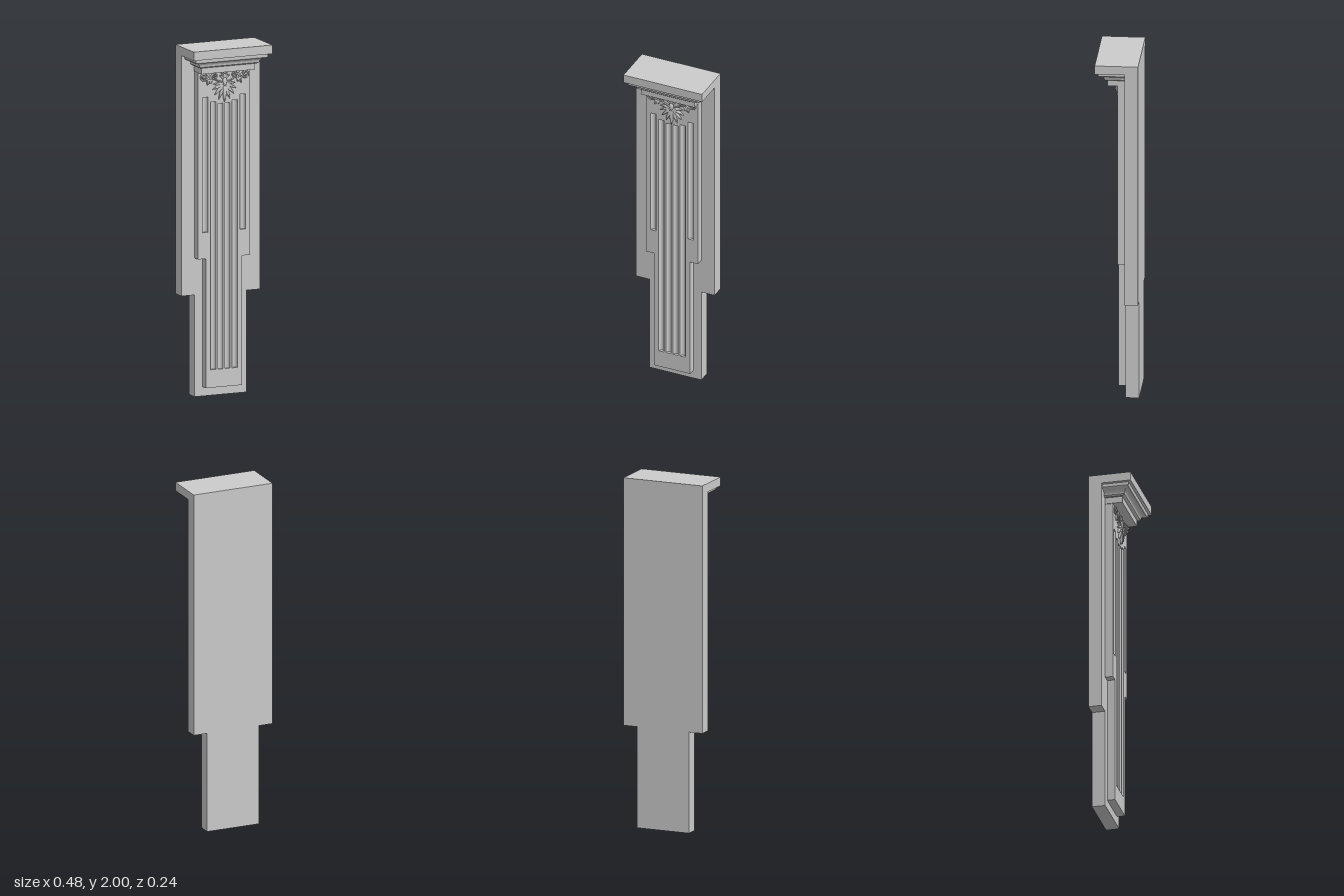
import * as THREE from 'three';

const grey = new THREE.MeshStandardMaterial({ color: 0xcccccc, side: THREE.DoubleSide });

function add(parent, name, geometry) {
  const mesh = new THREE.Mesh(geometry, grey);
  mesh.name = name;
  parent.add(mesh);
  return mesh;
}

// Symmetric outline: a wide upper part on a narrow lower part
function steppedShape(wide, narrow, bottom, step, top) {
  return new THREE.Shape([
    [-narrow, bottom], [narrow, bottom], [narrow, step], [wide, step],
    [wide, top], [-wide, top], [-wide, step], [-narrow, step],
  ].map(([x, y]) => new THREE.Vector2(x, y)));
}

function extrude(shape, z0, z1) {
  return new THREE.ExtrudeGeometry(shape, { depth: z1 - z0, bevelEnabled: false }).translate(0, 0, z0);
}

// Moulding mitred round the front and both sides; rows are [y, half width, front z]
function mitredMoulding(rows, back) {
  const pos = [];
  const corners = ([y, w, z]) => [[-w, y, back], [-w, y, z], [w, y, z], [w, y, back]];
  for (let i = 0; i < rows.length - 1; i++) {
    const a = corners(rows[i]), b = corners(rows[i + 1]);
    for (let k = 0; k < 3; k++) {
      pos.push(...a[k], ...a[k + 1], ...b[k + 1], ...a[k], ...b[k + 1], ...b[k]);
    }
  }
  const u = corners(rows[0]);
  pos.push(...u[0], ...u[3], ...u[2], ...u[0], ...u[2], ...u[1]);
  const g = new THREE.BufferGeometry();
  g.setAttribute('position', new THREE.Float32BufferAttribute(pos, 3));
  g.computeVertexNormals();
  return g;
}

// Pointed leaf lobe growing from (x, y); angle is measured from straight down
function lobe(x, y, z, angle, length, width, depth) {
  const g = new THREE.SphereGeometry(1, 12, 10);
  const p = g.attributes.position;
  for (let i = 0; i < p.count; i++) {
    const t = (p.getY(i) + 1) / 2;
    const crease = 1 - 0.35 * Math.exp(-40 * p.getX(i) ** 2);
    p.setXYZ(i, p.getX(i) * width * (1.25 - 0.75 * t), t * length, p.getZ(i) * depth * crease);
  }
  g.computeVertexNormals();
  return g.rotateZ(Math.PI + angle).translate(x, y, z);
}

// Spiral tube with a trailing stem, side = 1 or -1
function scroll(side, cx, cy, radius, turns, tail, thick) {
  const pts = [];
  const n = Math.round(turns * 10);
  for (let i = 0; i <= n; i++) {
    const t = i / n, a = -Math.PI / 2 + (1 - t) * turns * Math.PI * 2;
    const r = radius * (0.15 + 0.85 * t);
    pts.push(new THREE.Vector3(side * (cx + r * Math.cos(a)), cy + r * Math.sin(a), 0.012 - 0.006 * t));
  }
  for (const [x, y] of tail) pts.push(new THREE.Vector3(side * x, y, 0.006));
  return new THREE.TubeGeometry(new THREE.CatmullRomCurve3(pts), 60, thick, 8);
}

export function createModel() {
  const model = new THREE.Group();
  model.name = 'pilaster';

  // Backing board and top shelf
  add(model, 'backBoard', extrude(steppedShape(0.242, 0.16, 0, 0.58, 1.95), -0.121, -0.045));
  add(model, 'topShelf', new THREE.BoxGeometry(0.484, 0.05, 0.243).translate(0, 1.975, 0));

  // Fluted panel: solid body behind a pierced face, with a hollow round flute in each slot
  const outline = () => steppedShape(0.16, 0.112, 0.053, 0.79, 1.86);
  const faceDepth = 0.016;
  add(model, 'panelBody', extrude(outline(), -0.045, -faceDepth));
  const face = outline();
  const flutes = new THREE.Group();
  flutes.name = 'flutes';
  const r = 0.016;
  for (const side of [-1, 1]) {
    for (const [cx, y0, y1] of [[0.021, 0.155, 1.668], [0.066, 0.155, 1.68], [0.116, 0.94, 1.71]]) {
      const x = side * cx;
      face.holes.push(new THREE.Path([
        new THREE.Vector2(x - r, y0), new THREE.Vector2(x - r, y1),
        new THREE.Vector2(x + r, y1), new THREE.Vector2(x + r, y0),
      ]));
      const g = new THREE.CylinderGeometry(r, r, y1 - y0, 14, 1, false, Math.PI / 2, Math.PI);
      add(flutes, 'flute', g.scale(1, 1, 0.95).translate(x, (y0 + y1) / 2, 0));
    }
  }
  add(model, 'panelFace', extrude(face, -faceDepth, 0));
  model.add(flutes);

  // Cornice below the shelf
  add(model, 'corniceNeck', new THREE.BoxGeometry(0.33, 0.036, 0.1).translate(0, 1.873, 0.005));
  const rows = [[1.891, 0.175, 0.062], [1.896, 0.182, 0.07]];
  for (let i = 0; i <= 6; i++) {
    const a = (i / 6) * Math.PI / 2;
    rows.push([1.898 + 0.026 * Math.sin(a), 0.184 + 0.026 * (1 - Math.cos(a)), 0.072 + 0.022 * (1 - Math.cos(a))]);
  }
  rows.push([1.926, 0.217, 0.1], [1.932, 0.222, 0.104], [1.95, 0.222, 0.105]);
  add(model, 'corniceMoulding', mitredMoulding(rows, -0.045));

  // Carved ornament: palmette hanging between pairs of scrolls
  const ornament = new THREE.Group();
  ornament.name = 'ornament';
  model.add(ornament);
  add(ornament, 'palmetteLeaf', lobe(0, 1.785, 0.007, 0, 0.112, 0.013, 0.012));
  add(ornament, 'palmetteHeart', lobe(0, 1.815, 0.01, 0, 0.05, 0.014, 0.012));
  add(ornament, 'crestLeaf', lobe(0, 1.805, 0.006, Math.PI, 0.046, 0.009, 0.01));
  for (const s of [-1, 1]) {
    // Fan of leaves
    for (const [a, len, w] of [[0.36, 0.098, 0.011], [0.75, 0.088, 0.011], [1.15, 0.08, 0.01], [1.55, 0.07, 0.009]]) {
      add(ornament, 'palmetteLeaf', lobe(0, 1.783, 0.005, s * a, len, w, 0.01));
    }
    for (const [a, len] of [[2.25, 0.04], [2.7, 0.045]]) {
      add(ornament, 'crestLeaf', lobe(0, 1.805, 0.005, s * a, len, 0.007, 0.009));
    }
    // Large outer scroll, small inner scroll
    add(ornament, 'outerScroll', scroll(s, 0.128, 1.828, 0.021, 1.5, [[0.105, 1.812], [0.085, 1.825], [0.07, 1.842]], 0.005));
    add(ornament, 'innerScroll', scroll(s, 0.058, 1.826, 0.018, 1.5, [[0.035, 1.797], [0.015, 1.79]], 0.0045));
    add(ornament, 'scrollEye', new THREE.SphereGeometry(0.007, 10, 8).translate(s * 0.128, 1.828, 0.013));
    // Leaves sprouting from the scroll stems
    for (const [x, y, a, len] of [[0.1, 1.815, 0.1, 0.04], [0.098, 1.815, -0.6, 0.036], [0.088, 1.825, 2.3, 0.034], [0.075, 1.81, 0.7, 0.034]]) {
      add(ornament, 'stemLeaf', lobe(s * x, y, 0.004, s * a, len, 0.008, 0.009));
    }
  }
  return model;
}
